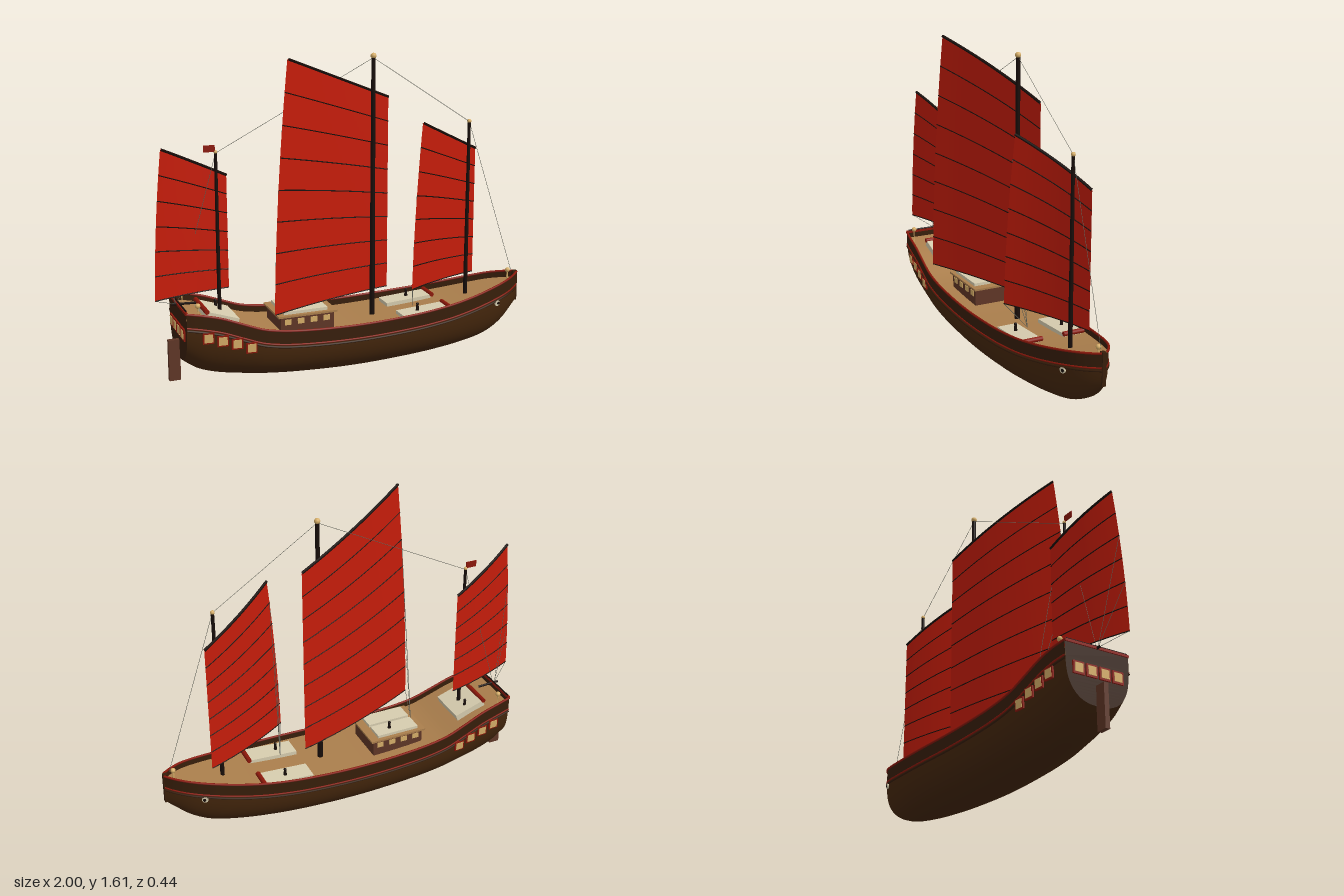
import * as THREE from 'three';

const mat = (name, color, side = THREE.FrontSide) => {
  const m = new THREE.MeshStandardMaterial({ color, side });
  m.name = name;
  return m;
};

export function createModel() {
  const ship = new THREE.Group();
  ship.name = 'sailingShip';
  const D = THREE.DoubleSide;
  const M = {
    sail: mat('sailRed', 0xc41c0a, D), trim: mat('trimRed', 0x8c180a),
    hull: mat('hullBrown', 0x44260c, D), bulwark: mat('bulwarkBrown', 0x371e0a, D),
    wood: mat('woodBrown', 0x5f3626), deck: mat('deckTan', 0xaa7e4c, D),
    cream: mat('hatchCream', 0xd6ccae), gold: mat('lanternGold', 0xd6ae68),
    spar: mat('sparBlack', 0x170d09), rope: mat('ropeGrey', 0x62645a),
  };
  const V = (x, y, z) => new THREE.Vector3(x, y, z);
  const add = (name, geo, m, x = 0, y = 0, z = 0) => {
    const mesh = new THREE.Mesh(geo, m);
    mesh.name = name;
    mesh.position.set(x, y, z);
    ship.add(mesh);
    return mesh;
  };
  // Box given by its limits
  const box = (name, m, x0, x1, y0, y1, z0, z1) =>
    add(name, new THREE.BoxGeometry(x1 - x0, y1 - y0, z1 - z0), m, (x0 + x1) / 2, (y0 + y1) / 2, (z0 + z1) / 2);
  const tube = (name, pts, r, m, n = 40, sides = 6) =>
    add(name, new THREE.TubeGeometry(new THREE.CatmullRomCurve3(pts), n, r, sides), m);
  const rope = (a, b) => tube('rope', [a, b], 0.0012, M.rope, 1, 4);
  // Surface through rows of points
  const loft = (name, rows, m) => {
    const n = rows[0].length, idx = [];
    for (let i = 0; i < rows.length - 1; i++) for (let j = 0; j < n - 1; j++) {
      const a = i * n + j, b = a + n;
      idx.push(a, b, a + 1, b, b + 1, a + 1);
    }
    const g = new THREE.BufferGeometry().setFromPoints(rows.flat());
    g.setIndex(idx);
    g.computeVertexNormals();
    return add(name, g, m);
  };

  // Hull stations: x, keel height, sheer height, half width
  const S = [
    [-0.87, 0.145, 0.42, 0.172], [-0.8, 0.095, 0.408, 0.183], [-0.7, 0.06, 0.382, 0.19],
    [-0.6, 0.042, 0.343, 0.196], [-0.48, 0.025, 0.3, 0.203], [-0.3, 0.01, 0.276, 0.209],
    [0, 0, 0.267, 0.213], [0.3, 0.008, 0.277, 0.206], [0.5, 0.02, 0.292, 0.187],
    [0.65, 0.035, 0.311, 0.16], [0.78, 0.06, 0.333, 0.127], [0.88, 0.11, 0.351, 0.091],
    [0.95, 0.17, 0.362, 0.049], [0.995, 0.21, 0.37, 0.01]];
  const slope = (i, c) => {
    const a = S[Math.max(i - 1, 0)], b = S[Math.min(i + 1, S.length - 1)];
    return (b[c] - a[c]) / (b[0] - a[0]);
  };
  const at = (x) => {
    let i = 0;
    while (i < S.length - 2 && x > S[i + 1][0]) i++;
    const h = S[i + 1][0] - S[i][0], t = (x - S[i][0]) / h;
    const f = (c) => (2 * t ** 3 - 3 * t * t + 1) * S[i][c] + (t ** 3 - 2 * t * t + t) * h * slope(i, c)
      + (3 * t * t - 2 * t ** 3) * S[i + 1][c] + (t ** 3 - t * t) * h * slope(i + 1, c);
    return { keel: f(1), sheer: f(2), wale: f(2) - 0.072, w: f(3) };
  };
  // Rounded section below the wale, fuller than an ellipse
  const FULL = 2.5;
  const sideZ = (x, y) => {
    const s = at(x);
    return y >= s.wale ? s.w : s.w * (1 - ((s.wale - y) / (s.wale - s.keel)) ** FULL) ** (1 / FULL);
  };
  const xs = Array.from({ length: 61 }, (_, i) => -0.87 + 1.865 * i / 60);
  const bottom = (x) => {
    const s = at(x);
    return Array.from({ length: 33 }, (_, j) => {
      const a = (j / 32 - 0.5) * Math.PI;
      const c = Math.max(Math.cos(a), 0) ** (2 / FULL), d = Math.sign(a) * Math.abs(Math.sin(a)) ** (2 / FULL);
      return V(x, s.wale - (s.wale - s.keel) * c, s.w * 0.985 * d);
    });
  };
  loft('hull', xs.map(bottom), M.hull);
  loft('deck', xs.map((x) => [-1, 1].map((k) => V(x, at(x).sheer - 0.035, k * at(x).w))), M.deck);
  for (const k of [-1, 1]) {
    const line = (d) => xs.map((x) => V(x, at(x).sheer + d, k * at(x).w));
    loft('bulwark', xs.map((x) => [V(x, at(x).wale, k * at(x).w), V(x, at(x).sheer, k * at(x).w)]), M.bulwark);
    tube('capRail', line(0), 0.006, M.trim, 80);
    tube('wale', line(-0.07), 0.0045, M.trim, 80);
    tube('lowerWale', line(-0.083), 0.006, M.bulwark, 80);
  }
  // Flat ends of the hull
  for (const [name, x] of [['transom', -0.87], ['stem', 0.995]]) {
    const half = [...bottom(x).slice(16), V(x, at(x).sheer, at(x).w)];
    loft(name, [half, half.map((p) => V(p.x, p.y, -p.z))], M.bulwark);
  }
  box('stemPost', M.bulwark, 0.975, 1.0, 0.21, 0.375, -0.01, 0.01);
  box('sternCap', M.trim, -0.876, -0.864, 0.414, 0.426, -0.172, 0.172);
  box('rudder', M.wood, -0.925, -0.868, 0.03, 0.24, -0.012, 0.012);

  // Framed windows and bow eyes laid on the hull sides
  const onSide = (name, geo, m, x, y, k, lift) => {
    const e = 0.01, z = sideZ(x, y);
    const n = V((sideZ(x - e, y) - sideZ(x + e, y)) / (2 * e), (sideZ(x, y - e) - sideZ(x, y + e)) / (2 * e), 1).normalize();
    const p = V(x, y, z).addScaledVector(n, lift), q = p.clone().add(n);
    p.z *= k;
    q.z *= k;
    add(name, geo, m, p.x, p.y, p.z).lookAt(q);
  };
  const plate = (w, d) => new THREE.BoxGeometry(w, w, d);
  const disc = (r) => new THREE.CylinderGeometry(r, r, 0.008, 16).rotateX(Math.PI / 2);
  for (const k of [-1, 1]) {
    [[-0.77, 0.293], [-0.7, 0.272], [-0.63, 0.25], [-0.56, 0.221]].forEach(([x, y]) => {
      onSide('windowFrame', plate(0.056, 0.009), M.trim, x, y, k, 0.002);
      onSide('windowPane', plate(0.042, 0.009), M.gold, x, y, k, 0.004);
    });
    onSide('eyeWhite', disc(0.016), M.cream, 0.825, 0.245, k, 0.002);
    onSide('eyePupil', disc(0.008), M.spar, 0.828, 0.245, k, 0.005);
  }
  for (const z of [-0.105, -0.035, 0.035, 0.105]) {
    box('sternWindowFrame', M.trim, -0.878, -0.87, 0.272, 0.332, z - 0.03, z + 0.03);
    box('sternWindowPane', M.gold, -0.881, -0.873, 0.281, 0.323, z - 0.021, z + 0.021);
  }

  // Cabin with two lids
  box('cabin', M.wood, -0.38, -0.1, 0.22, 0.318, -0.11, 0.11);
  box('cabinRoof', M.deck, -0.395, -0.085, 0.318, 0.328, -0.122, 0.122);
  for (const k of [-1, 1]) {
    box('cabinLid', M.cream, -0.36, -0.13, 0.328, 0.343, k * 0.055 - 0.047, k * 0.055 + 0.047);
    for (let i = 0; i < 4; i++)
      box('cabinWindow', M.gold, -0.36 + i * 0.068, -0.325 + i * 0.068, 0.278, 0.306, k * 0.11 - 0.003, k * 0.11 + 0.003);
  }
  // Low deck hatches following the deck slope, with red rollers
  const roller = (x, y, z, len) => {
    add('roller', new THREE.CylinderGeometry(0.012, 0.012, len, 12).rotateX(Math.PI / 2), M.trim, x, y, z);
  };
  box('aftHatch', M.cream, -0.76, -0.59, 0.334, 0.37, -0.105, 0.105).rotation.z = -0.33;
  roller(-0.752, 0.395, 0, 0.215);
  for (const k of [-1, 1]) {
    box('foreHatch', M.cream, 0.265, 0.52, 0.24, 0.268, k * 0.113 - 0.053, k * 0.113 + 0.053).rotation.z = 0.065;
    roller(0.525, 0.276, k * 0.113, 0.11);
  }
  // Small posts with knobs on the hatches
  for (const [x, y, z] of [[-0.215, 0.343, -0.058], [0.4, 0.268, -0.118], [-0.665, 0.36, -0.058], [0.36, 0.266, 0.115]]) {
    add('post', new THREE.CylinderGeometry(0.006, 0.009, 0.034, 10), M.spar, x, y + 0.015, z);
    add('postKnob', new THREE.SphereGeometry(0.008, 10, 8), M.spar, x, y + 0.034, z);
  }
  // Stern lanterns, rail and bow lantern
  const ball = (name, x, y, z, r) => add(name, new THREE.SphereGeometry(r, 14, 10), M.gold, x, y, z);
  for (const k of [-1, 1]) {
    tube('lanternPost', [V(-0.81, 0.37, k * 0.153), V(-0.81, 0.445, k * 0.153)], 0.003, M.gold, 1);
    ball('sternLantern', -0.81, 0.45, k * 0.153, 0.013);
  }
  tube('sternRail', [V(-0.868, 0.43, -0.165), V(-0.868, 0.43, 0.165)], 0.004, M.spar, 1);
  tube('tiller', [V(-0.9, 0.42, 0), V(-0.78, 0.415, 0)], 0.006, M.spar, 1);
  tube('bowPost', [V(0.945, 0.32, 0), V(0.945, 0.38, 0)], 0.005, M.gold, 1);
  ball('bowLantern', 0.945, 0.383, 0, 0.013);

  // Masts
  const mast = (name, x, y0, y1, r, rb) => {
    add(name, new THREE.CylinderGeometry(r * 0.75, r, y1 - y0, 14), M.spar, x, (y0 + y1) / 2, 0);
    ball(name + 'Ball', x, y1 + rb * 0.6, 0, rb);
  };
  mast('mainMast', 0.155, 0.22, 1.565, 0.014, 0.015);
  mast('foreMast', 0.692, 0.26, 1.205, 0.011, 0.011);
  mast('aftMast', -0.66, 0.3, 1.15, 0.01, 0.009);
  box('flag', M.trim, -0.72, -0.663, 1.157, 1.19, -0.002, 0.002);

  // Battened sails: luff is the straight front edge, leech the curved rear edge
  const lerp = THREE.MathUtils.lerp;
  const sail = (name, o) => {
    const P = (u, v) => {
      const leech = lerp(o.leechX[0], o.leechX[1], v) - 0.06 * o.bow * v * (1 - v) * 4;
      const x = lerp(o.luffX, leech, u);
      return V(x, lerp(lerp(o.luffY[0], o.luffY[1], v), lerp(o.leechY[0], o.leechY[1], v), u),
        o.luffZ + (o.luffX - x) * o.k - o.belly * 4 * u * (1 - u));
    };
    const row = (v) => Array.from({ length: 17 }, (_, j) => P(j / 16, v));
    loft(name, Array.from({ length: 25 }, (_, i) => row(i / 24)), M.sail);
    for (let i = 0; i <= o.panels; i++)
      tube(i === o.panels ? name + 'Yard' : name + 'Batten', row(i / o.panels), i === o.panels ? 0.007 : 0.0028, M.spar, 20);
    for (let i = 0; i < o.panels; i += 2) rope(P(1, i / o.panels), o.sheet);
  };
  sail('mainSail', { luffX: 0.265, luffZ: -0.065, k: 0.376, luffY: [0.355, 1.355], leechX: [-0.44, -0.35],
    leechY: [0.37, 1.605], bow: 0.25, belly: 0.022, panels: 8, sheet: V(-0.37, 0.33, 0) });
  sail('foreSail', { luffX: 0.762, luffZ: -0.06, k: 0.4725, luffY: [0.38, 1.055], leechX: [0.31, 0.37],
    leechY: [0.395, 1.247], bow: 0.15, belly: 0.018, panels: 7, sheet: V(0.36, 0.27, 0.05) });
  sail('aftSail', { luffX: -0.598, luffZ: -0.04, k: 0.3125, luffY: [0.46, 1.03], leechX: [-0.998, -0.943],
    leechY: [0.475, 1.203], bow: 0.15, belly: 0.014, panels: 6, sheet: V(-0.88, 0.42, 0) });

  // Stays running from bow to stern over the mast tops
  const stays = [V(0.965, 0.38, 0), V(0.692, 1.21, 0), V(0.155, 1.565, 0), V(-0.66, 1.15, 0), V(-0.87, 0.42, 0)];
  for (let i = 0; i < stays.length - 1; i++) rope(stays[i], stays[i + 1]);

  return ship;
}
